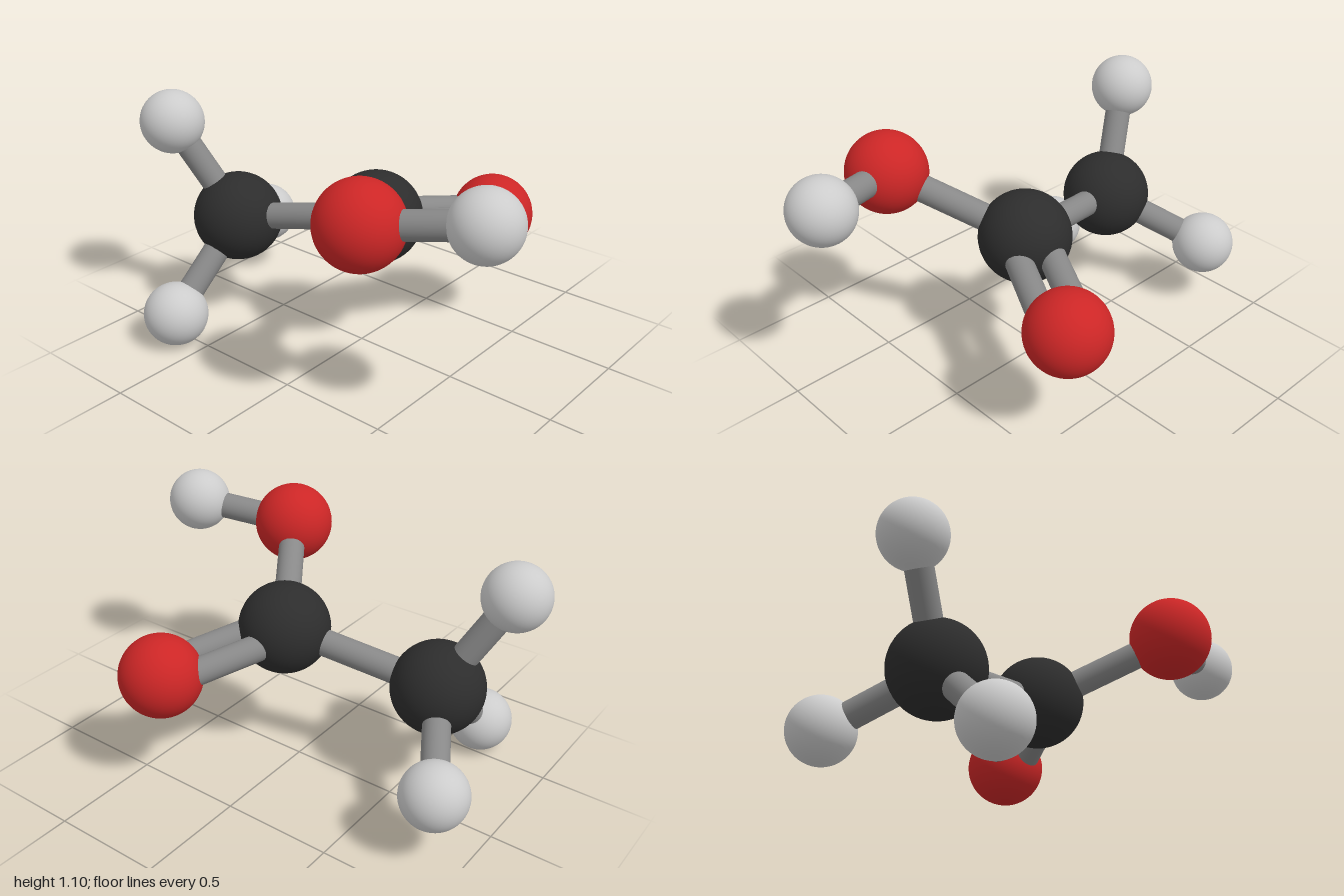
import * as THREE from 'three';

const ELEMENTS = {
  carbon: { radius: 0.205, color: 0x2d2d2d },
  oxygen: { radius: 0.182, color: 0xcc2626 },
  hydrogen: { radius: 0.145, color: 0xcccccc },
};
const BOND_RADIUS = 0.06;
const DOUBLE_OFFSET = 0.073;

// Atom name: [element, x, y, z]
const ATOMS = {
  methylCarbon: ['carbon', -0.61, 0.51, 0.165],
  acidCarbon: ['carbon', 0.08, 0.645, 0.0],
  hydroxylOxygen: ['oxygen', 0.415, 0.885, 0.51],
  doubleBondOxygen: ['oxygen', 0.34, 0.555, -0.522],
  hydroxylHydrogen: ['hydrogen', 0.855, 0.95, 0.335],
  upperHydrogen: ['hydrogen', -0.855, 0.955, 0.31],
  backHydrogen: ['hydrogen', -0.855, 0.313, -0.258],
  frontHydrogen: ['hydrogen', -0.636, 0.148, 0.557],
};

// From, to, number of rods
const BONDS = [
  ['methylCarbon', 'acidCarbon', 1],
  ['acidCarbon', 'hydroxylOxygen', 1],
  ['acidCarbon', 'doubleBondOxygen', 2],
  ['hydroxylOxygen', 'hydroxylHydrogen', 1],
  ['methylCarbon', 'upperHydrogen', 1],
  ['methylCarbon', 'backHydrogen', 1],
  ['methylCarbon', 'frontHydrogen', 1],
];

const UP = new THREE.Vector3(0, 1, 0);
const position = (name) => new THREE.Vector3(...ATOMS[name].slice(1));

// Cylinder stretched between two points
function rod(a, b, material) {
  const axis = b.clone().sub(a);
  const geometry = new THREE.CylinderGeometry(BOND_RADIUS, BOND_RADIUS, axis.length(), 32);
  const mesh = new THREE.Mesh(geometry, material);
  mesh.position.copy(a).add(b).multiplyScalar(0.5);
  mesh.quaternion.setFromUnitVectors(UP, axis.normalize());
  return mesh;
}

export function createModel() {
  const model = new THREE.Group();
  model.name = 'molecule';

  // Atoms
  const kinds = {};
  for (const [kind, { radius, color }] of Object.entries(ELEMENTS)) {
    kinds[kind] = {
      geometry: new THREE.SphereGeometry(radius, 48, 32),
      material: new THREE.MeshStandardMaterial({ color }),
    };
  }
  for (const name of Object.keys(ATOMS)) {
    const { geometry, material } = kinds[ATOMS[name][0]];
    const atom = new THREE.Mesh(geometry, material);
    atom.name = name;
    atom.position.copy(position(name));
    model.add(atom);
  }

  // Bonds; a double bond is a pair of rods side by side in the horizontal
  const bondMaterial = new THREE.MeshStandardMaterial({ color: 0x888888 });
  for (const [from, to, count] of BONDS) {
    const a = position(from);
    const b = position(to);
    const side = b.clone().sub(a).cross(UP).normalize();
    const bond = new THREE.Group();
    bond.name = `${from} to ${to} bond`;
    for (let i = 0; i < count; i++) {
      const shift = side.clone().multiplyScalar((2 * i - (count - 1)) * DOUBLE_OFFSET);
      const mesh = rod(a.clone().add(shift), b.clone().add(shift), bondMaterial);
      mesh.name = 'bondRod';
      bond.add(mesh);
    }
    model.add(bond);
  }
  return model;
}
